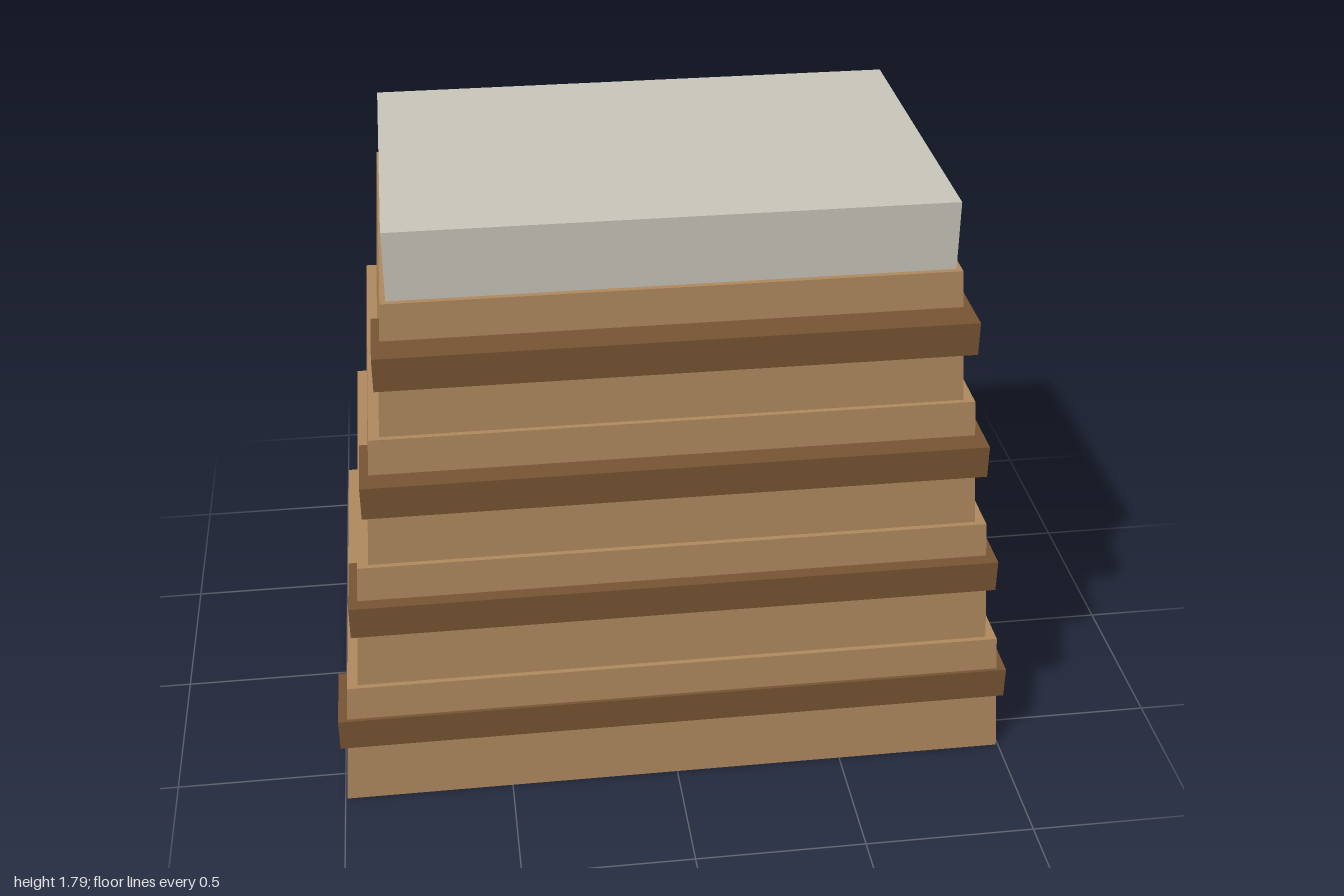
import * as THREE from 'three';

const TIER_HEIGHT = 0.3985;
const TIERS = 4;

// Box whose top is narrower than its bottom, standing on y = 0
function taperedBox(bottomX, topX, bottomZ, topZ, height) {
  const geometry = new THREE.BoxGeometry(2, height, 2).translate(0, height / 2, 0);
  const p = geometry.attributes.position;
  for (let i = 0; i < p.count; i++) {
    const top = p.getY(i) > height / 2;
    p.setX(i, p.getX(i) * (top ? topX : bottomX));
    p.setZ(i, p.getZ(i) * (top ? topZ : bottomZ));
  }
  geometry.computeVertexNormals();
  return geometry;
}

export function createModel() {
  const wood = new THREE.MeshStandardMaterial({ name: 'wood', color: 0xb08a5e });
  const darkWood = new THREE.MeshStandardMaterial({ name: 'darkWood', color: 0x775533 });
  const padding = new THREE.MeshStandardMaterial({ name: 'padding', color: 0xc9c6ba });

  const model = new THREE.Group();
  model.name = 'vaultingBox';

  const add = (name, geometry, material, y, z = 0) => {
    const mesh = new THREE.Mesh(geometry, material);
    mesh.name = name;
    mesh.position.set(0, y, z);
    model.add(mesh);
  };

  for (let i = 0; i < TIERS; i++) {
    const y = i * TIER_HEIGHT;
    const halfX = 0.994 - 0.0587 * i;
    const halfZ = 0.615 - 0.0293 * i;

    // Stacked tapering section
    add(`tier${i + 1}`, taperedBox(halfX, halfX - 0.0285, halfZ, halfZ - 0.0143, TIER_HEIGHT), wood, y);

    // Grip rail running across the front, its ends just proud of the sides
    add(`gripRail${i + 1}`, new THREE.BoxGeometry(2 - 0.12 * i, 0.098, 0.232), darkWood, y + 0.241, 0.499);
  }

  // Padded top
  add('paddedTop', new THREE.BoxGeometry(1.548, 0.199, 0.994), padding, TIERS * TIER_HEIGHT + 0.0995);

  return model;
}
